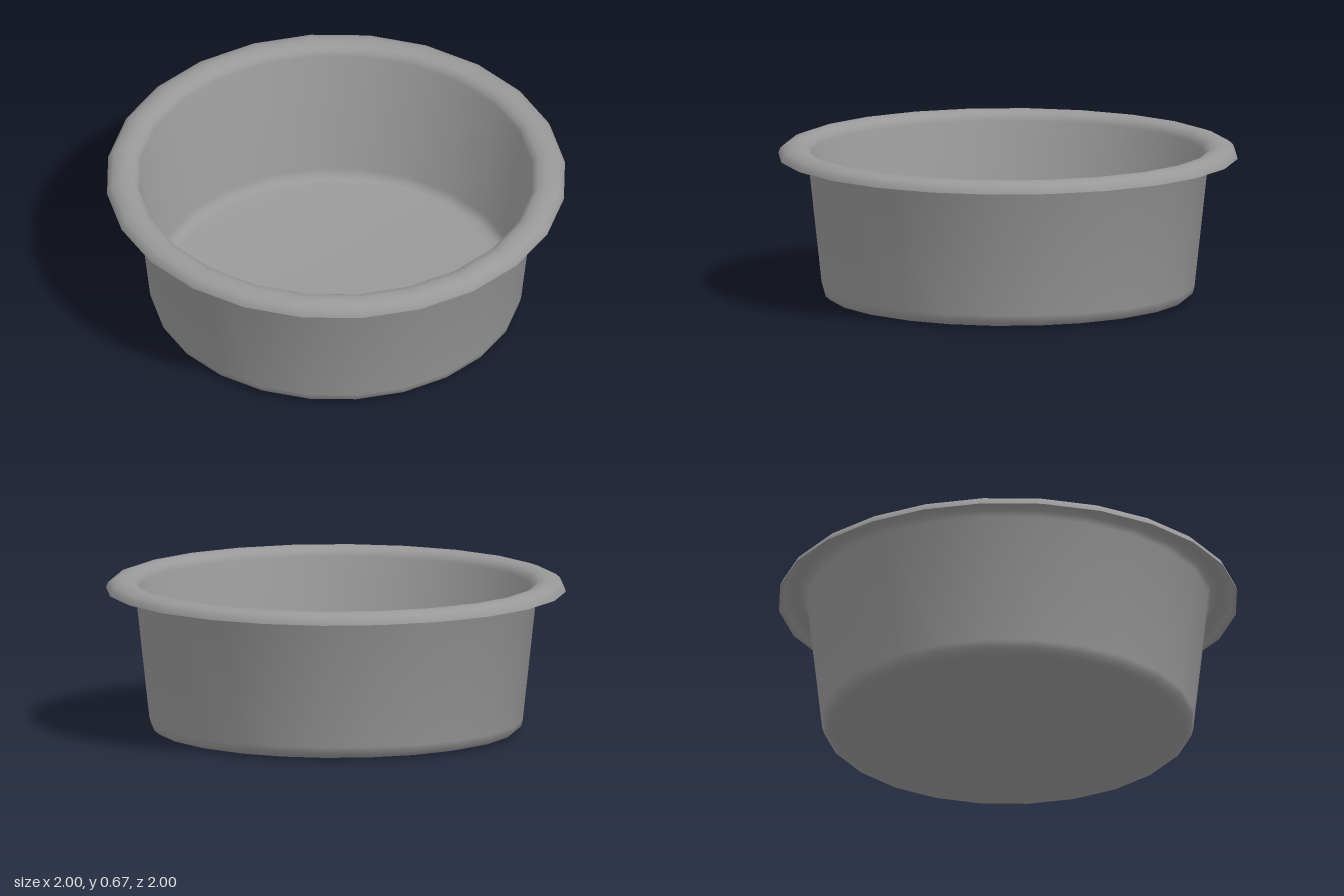
import * as THREE from 'three';
import { toCreasedNormals } from 'three/addons/utils/BufferGeometryUtils.js';

const SIDES = 24;

// Wall section [radius, height]: outside from the base centre up to the lip, then back down the inside
const outside = [
  [0, 0], [0.748, 0], [0.782, 0.008], [0.804, 0.026], [0.812, 0.055], // base and rounded foot
  [0.873, 0.615], // tapered wall
  [0.886, 0.64], [0.907, 0.654], [0.93, 0.657], [0.957, 0.651], [0.977, 0.638], [0.987, 0.621], // hollow under the rim
];
const inside = [
  [1, 0.621], [0.992, 0.642], [0.975, 0.657], [0.945, 0.668], [0.915, 0.67], [0.885, 0.662], [0.867, 0.649], [0.857, 0.627], // rolled rim
  [0.796, 0.06], [0.787, 0.036], [0.77, 0.021], [0.74, 0.014], [0, 0.014], // inner wall and floor
];

export function createModel() {
  const group = new THREE.Group();
  group.name = 'roundBasin';

  const profile = [...outside, ...inside].map(([r, y]) => new THREE.Vector2(r, y));
  const geometry = toCreasedNormals(new THREE.LatheGeometry(profile, SIDES), THREE.MathUtils.degToRad(65));

  // Basin with its rolled rim, turned as one thin shell
  const basin = new THREE.Mesh(
    geometry,
    new THREE.MeshStandardMaterial({ color: 0x999999, side: THREE.DoubleSide })
  );
  basin.name = 'basinWithRolledRim';
  group.add(basin);
  return group;
}
